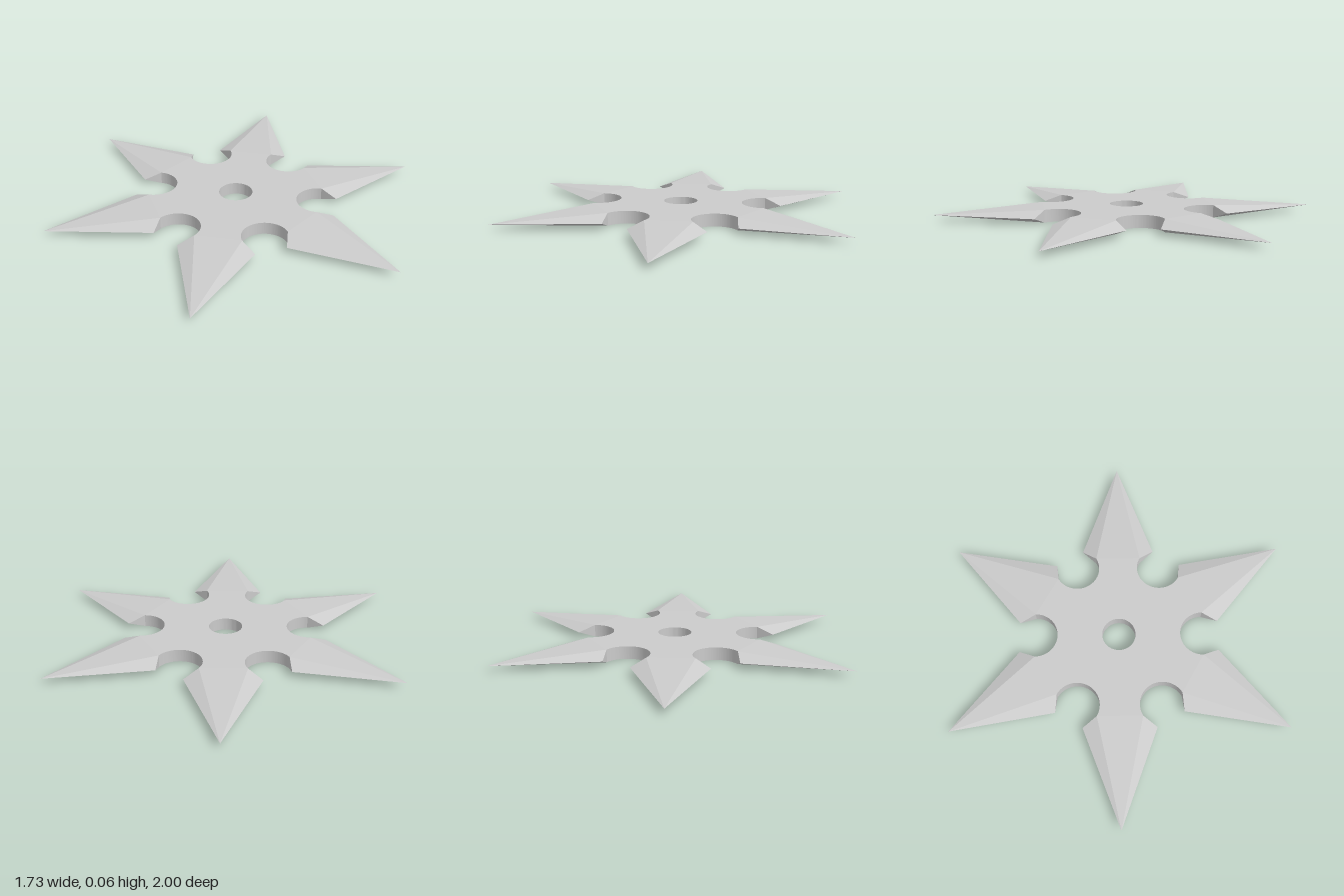
import * as THREE from 'three';
import { toCreasedNormals } from 'three/addons/utils/BufferGeometryUtils.js';

const ARMS = 6;
const HALF = 0.0325;      // half thickness of the plate
const NOTCH_AT = 0.437;   // distance of the notch centres from the middle
const NOTCH_R = 0.117;
const HOLE_R = 0.087;
const STEP = (Math.PI * 2) / ARMS;

// Flat plate with half-round notches between the arms and a centre hole
function plateGeometry() {
  const shape = new THREE.Shape();
  for (let i = 0; i < ARMS; i++) {
    const a = i * STEP;
    shape.absarc(NOTCH_AT * Math.cos(a), NOTCH_AT * Math.sin(a), NOTCH_R,
      a - Math.PI / 2, a + Math.PI / 2, true);
  }
  shape.closePath();
  const hole = new THREE.Path();
  hole.absarc(0, 0, HOLE_R, 0, Math.PI * 2, true);
  shape.holes.push(hole);
  const geo = new THREE.ExtrudeGeometry(shape, { depth: HALF * 2, bevelEnabled: false, curveSegments: 32 });
  geo.translate(0, 0, -HALF);
  geo.rotateX(-Math.PI / 2);
  return toCreasedNormals(geo, 0.6);
}

// Barbed point along +x: one quarter of its facets, mirrored across both planes
function bladeGeometry() {
  const r = NOTCH_AT * Math.cos(STEP / 2) + NOTCH_R * Math.sin(STEP / 2);
  const w = NOTCH_AT * Math.sin(STEP / 2) - NOTCH_R * Math.cos(STEP / 2);
  const shoulder = [r, HALF, w], shoulderMid = [r, 0, w], ridge = [r, HALF, 0];
  const barb = [0.49, 0, 0.19], tip = [1, 0, 0];
  const facets = [
    [shoulder, tip, ridge],          // sloping centre
    [shoulder, barb, tip],           // ground cutting edge
    [shoulder, shoulderMid, barb],   // back of the barb
  ];
  const points = [];
  for (const side of [1, -1]) {
    for (const up of [1, -1]) {
      for (const facet of facets) {
        const corners = side * up > 0 ? facet : [...facet].reverse();
        for (const [x, y, z] of corners) points.push(x, y * up, z * side);
      }
    }
  }
  const geo = new THREE.BufferGeometry();
  geo.setAttribute('position', new THREE.Float32BufferAttribute(points, 3));
  geo.computeVertexNormals();
  return geo;
}

export function createModel() {
  const group = new THREE.Group();
  group.name = 'throwingStar';
  const steel = new THREE.MeshStandardMaterial({ color: 0xcccccc });

  const plate = new THREE.Mesh(plateGeometry(), steel);
  plate.name = 'plate';
  plate.position.y = HALF;
  group.add(plate);

  const bladeGeo = bladeGeometry();
  for (let i = 0; i < ARMS; i++) {
    const blade = new THREE.Mesh(bladeGeo, steel);
    blade.name = `blade${i + 1}`;
    blade.position.y = HALF;
    blade.rotation.y = (i + 0.5) * STEP;
    group.add(blade);
  }
  return group;
}
